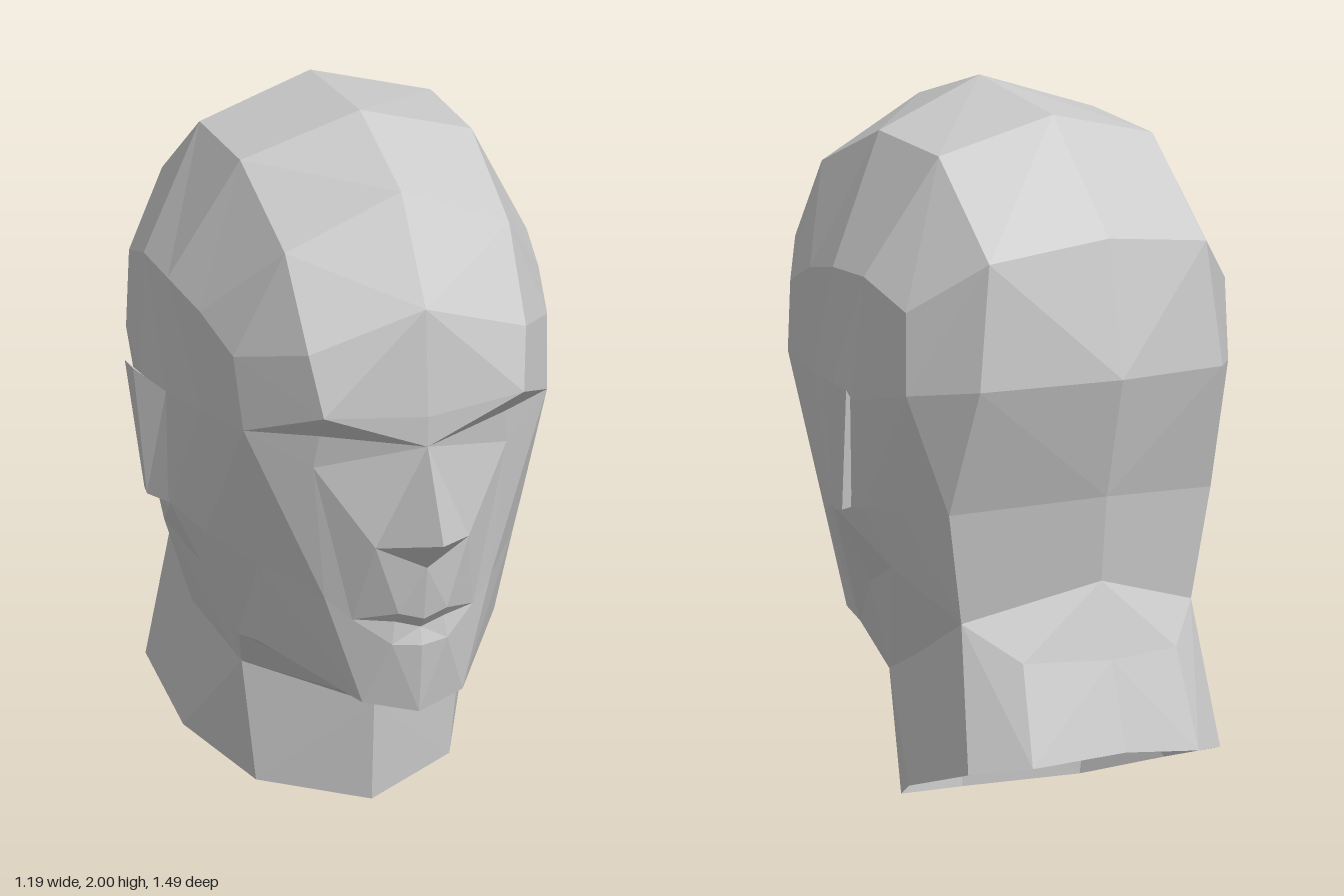
import * as THREE from 'three';

const material = new THREE.MeshStandardMaterial({ color: 0xcccccc, flatShading: true, side: THREE.DoubleSide });
const P = (x, y, z) => new THREE.Vector3(x, y, z);

// Collects faces for one side (+x), turned away from a core point.
class Patch {
  constructor(core) {
    this.core = core;
    this.tris = [];
  }
  tri(a, b, c) {
    const n = b.clone().sub(a).cross(c.clone().sub(a));
    if (n.length() < 1e-6) return;
    const out = a.clone().add(b).add(c).divideScalar(3).sub(this.core);
    this.tris.push(n.dot(out) < 0 ? [a, c, b] : [a, b, c]);
  }
  // Splits along the diagonal that bulges outwards.
  quad(a, b, c, d) {
    const reach = (p, q) => p.clone().lerp(q, 0.5).distanceTo(this.core);
    if (reach(a, c) >= reach(b, d)) { this.tri(a, b, c); this.tri(a, c, d); }
    else { this.tri(a, b, d); this.tri(b, c, d); }
  }
  // Joins two lines of points with quads.
  strip(p, q) {
    for (let i = 0; i < Math.min(p.length, q.length) - 1; i++) this.quad(p[i], p[i + 1], q[i + 1], q[i]);
  }
  // Mesh of this side together with its mirror image.
  mesh(name) {
    const pos = [];
    for (const [a, b, c] of this.tris) {
      for (const v of [a, b, c]) pos.push(v.x, v.y, v.z);
      for (const v of [a, c, b]) pos.push(-v.x, v.y, v.z);
    }
    const geo = new THREE.BufferGeometry();
    geo.setAttribute('position', new THREE.Float32BufferAttribute(pos, 3));
    geo.computeVertexNormals();
    const mesh = new THREE.Mesh(geo, material);
    mesh.name = name;
    return mesh;
  }
}

export function createModel() {
  const group = new THREE.Group();
  group.name = 'head';
  const core = P(0, 1.1, 0);

  // Lines running from the brow over the skull to the nape
  const centre = [P(0, 1.31, 0.62), P(0, 1.62, 0.6), P(0, 1.89, 0.4), P(0, 2, 0.065), P(0, 1.96, -0.34),
    P(0, 1.67, -0.65), P(0, 1.29, -0.73), P(0, 0.95, -0.64), P(0, 0.71, -0.61)];
  const crown = [P(0.29, 1.33, 0.585), P(0.315, 1.5, 0.53), P(0.325, 1.74, 0.365), P(0.335, 1.885, 0.03),
    P(0.335, 1.87, -0.3), P(0.34, 1.62, -0.59), P(0.38, 1.27, -0.61), P(0.41, 0.91, -0.49), P(0.36, 0.6, -0.47)];
  const temple = [P(0.44, 1.225, 0.35), P(0.455, 1.43, 0.31), P(0.49, 1.5, 0.14), P(0.52, 1.535, -0.04),
    P(0.525, 1.54, -0.22), P(0.5, 1.47, -0.41), P(0.505, 1.24, -0.42), P(0.47, 0.9, -0.34), P(0.455, 0.73, -0.25)];

  // Lines running back along the side: ear top, ear bottom, jaw
  const browEnd = temple[0];
  const earLine = [browEnd, P(0.485, 1.21, 0.13), P(0.525, 1.2, -0.04), P(0.545, 1.19, -0.18), temple[6]];
  const lobeLine = [P(0.37, 0.79, 0.27), P(0.46, 0.83, 0.1), P(0.515, 0.87, -0.03), P(0.505, 0.885, -0.18), temple[7]];
  const jawLine = [P(0.34, 0.53, 0.2), P(0.36, 0.51, 0.09), P(0.4, 0.65, -0.04), temple[8]];

  const skull = new Patch(core);
  skull.strip(centre, crown);
  skull.strip(crown, temple);
  skull.strip(temple.slice(1, 6), earLine);
  group.add(skull.mesh('skull'));

  const side = new Patch(core);
  side.strip(earLine, lobeLine);
  side.strip(lobeLine.slice(0, 4), jawLine);
  side.tri(lobeLine[3], lobeLine[4], jawLine[3]);
  group.add(side.mesh('cheekAndJaw'));

  // Brow underside and eye planes
  const noseRoot = P(0, 1.22, 0.615), lid = P(0.27, 1.24, 0.49), cheek = P(0.28, 1.14, 0.47);
  const brow = new Patch(core);
  brow.strip([centre[0], crown[0], browEnd], [noseRoot, lid, browEnd]);
  brow.strip([noseRoot, lid, browEnd], [noseRoot, cheek, browEnd]);
  group.add(brow.mesh('browAndEyes'));

  // Nose
  const noseTip = P(0, 0.975, 0.745), nostril = P(0.135, 0.92, 0.57), noseBase = P(0, 0.86, 0.61);
  const nose = new Patch(core);
  nose.tri(noseRoot, noseTip, nostril);
  nose.tri(noseTip, noseBase, nostril);
  group.add(nose.mesh('nose'));

  // Mouth rows, each running from the middle to the corner
  const corner = P(0.175, 0.685, 0.49);
  const upperLip = [P(0, 0.7, 0.585), P(0.07, 0.72, 0.575), corner];
  const mouthLine = [P(0, 0.665, 0.555), P(0.07, 0.685, 0.545), corner];
  const lowerLip = [P(0, 0.615, 0.57), P(0.08, 0.62, 0.55), corner];
  const mouth = new Patch(core);
  mouth.strip(upperLip, mouthLine);
  mouth.strip(mouthLine, lowerLip);
  group.add(mouth.mesh('mouth'));

  // Front face planes and chin
  const chin = [P(0, 0.41, 0.545), P(0.145, 0.435, 0.49), jawLine[0]];
  const lowCheek = P(0.24, 0.74, 0.45);
  const face = new Patch(core);
  face.strip([noseBase, nostril, nostril], upperLip);
  face.tri(noseRoot, nostril, cheek);
  face.tri(nostril, cheek, corner);
  face.tri(cheek, lowCheek, corner);
  face.quad(cheek, browEnd, lobeLine[0], lowCheek);
  face.strip(lowerLip, [chin[0], chin[1], chin[1]]);
  face.tri(corner, lowCheek, chin[1]);
  face.quad(lowCheek, lobeLine[0], jawLine[0], chin[1]);
  group.add(face.mesh('face'));

  // Neck rings, running from the throat round to the nape
  const neckTop = [P(0, 0.29, 0.18), P(0.32, 0.39, 0), P(0.375, 0.48, -0.25), crown[8],
    P(0.24, 0.5, -0.6), P(0, 0.5, -0.67)];
  const neckBottom = [P(0, 0, 0.16), P(0.28, 0.035, 0.005), P(0.4, 0.115, -0.25), P(0.395, 0.2, -0.57),
    P(0.26, 0.225, -0.69), P(0, 0.255, -0.745)];

  // Underside of the chin
  const throat = P(0, 0.355, 0.37);
  const underChin = new Patch(core);
  underChin.tri(chin[0], chin[1], throat);
  underChin.quad(chin[1], jawLine[0], jawLine[1], throat);
  underChin.quad(throat, jawLine[1], neckTop[1], neckTop[0]);
  group.add(underChin.mesh('underChin'));

  // Neck, open below
  const neck = new Patch(P(0, 0.3, -0.3));
  neck.strip(neckTop, neckBottom);
  neck.strip(jawLine.slice(1), [neckTop[1], neckTop[1], neckTop[2]]);
  neck.tri(jawLine[3], neckTop[2], neckTop[3]);
  neck.tri(crown[8], centre[8], neckTop[4]);
  neck.tri(centre[8], neckTop[4], neckTop[5]);
  group.add(neck.mesh('neck'));

  // Wedge-shaped ears
  const earTop = [P(0.525, 1.2, -0.04), P(0.595, 1.25, -0.11), P(0.58, 1.23, -0.22), P(0.535, 1.19, -0.17)];
  const earBottom = [P(0.515, 0.87, -0.04), P(0.555, 0.875, -0.11), P(0.55, 0.88, -0.145), P(0.505, 0.88, -0.12)];
  const ear = new Patch(P(0.545, 1.06, -0.115));
  ear.strip(earTop, earBottom);
  ear.quad(...earTop);
  ear.quad(...earBottom);
  group.add(ear.mesh('ears'));

  return group;
}
